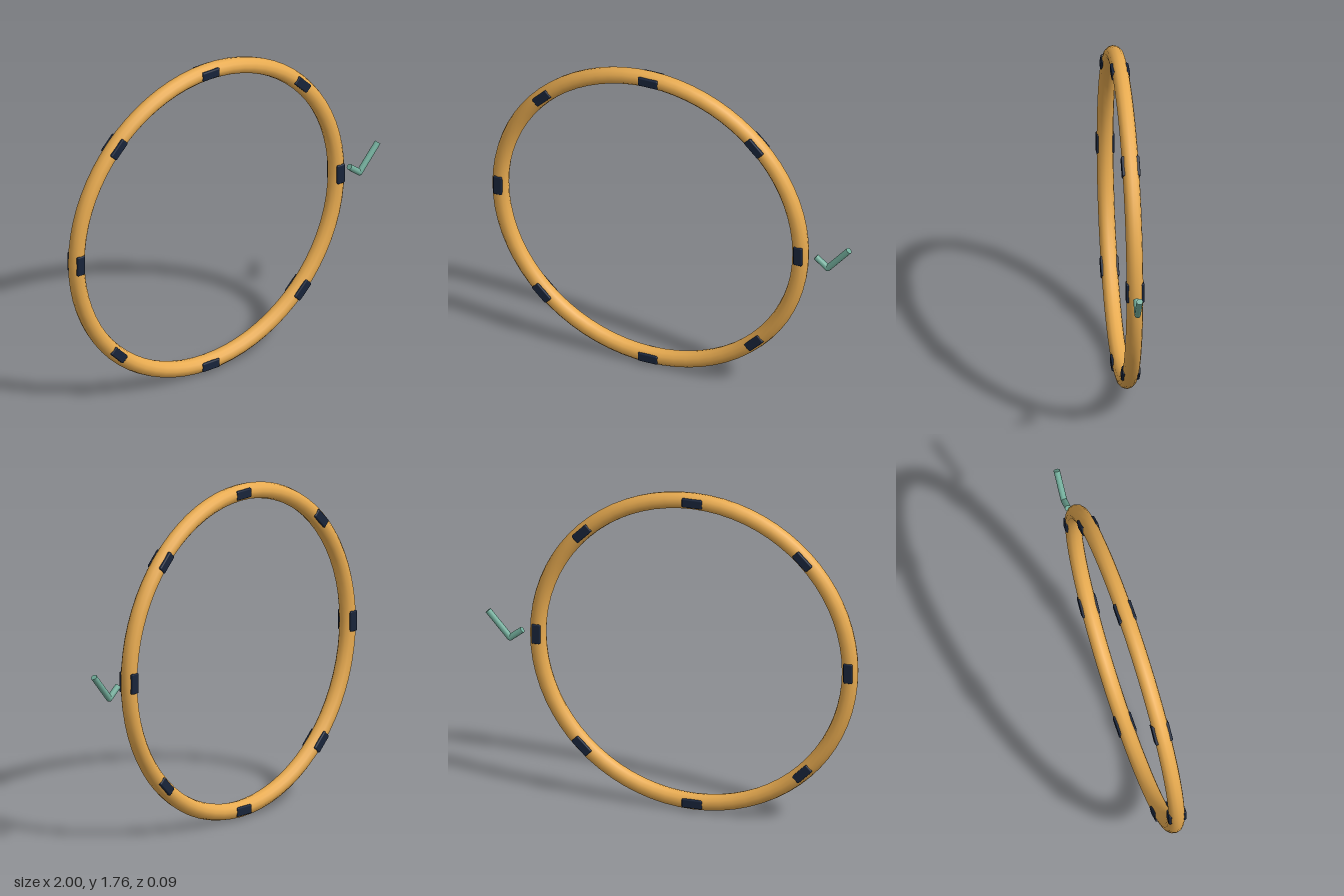
import * as THREE from 'three';
import { RoundedBoxGeometry } from 'three/addons/geometries/RoundedBoxGeometry.js';

const CENTER = new THREE.Vector3(-0.12, 0.887, 0);
const RING_RADIUS = 0.837;
const TUBE_RADIUS = 0.043;

export function createModel() {
  const model = new THREE.Group();
  const ringMaterial = new THREE.MeshStandardMaterial({ color: 0xe8ab50 });
  const gripMaterial = new THREE.MeshStandardMaterial({ color: 0x18243a });
  const hookMaterial = new THREE.MeshStandardMaterial({ color: 0x72ad9b });

  // Main hoop
  const hoop = new THREE.Mesh(
    new THREE.TorusGeometry(RING_RADIUS, TUBE_RADIUS, 12, 72), ringMaterial);
  hoop.name = 'hoop';
  hoop.position.copy(CENTER);
  model.add(hoop);

  // Eight grip blocks, set through the tube so they show front and back
  const grips = new THREE.Group();
  grips.name = 'grips';
  const gripGeometry = new RoundedBoxGeometry(0.048, 0.108, 0.095, 2, 0.007);
  for (let i = 0; i < 8; i++) {
    const angle = (i * Math.PI) / 4;
    const grip = new THREE.Mesh(gripGeometry, gripMaterial);
    grip.name = `grip${i + 1}`;
    grip.position.set(
      CENTER.x + RING_RADIUS * Math.cos(angle),
      CENTER.y + RING_RADIUS * Math.sin(angle), 0);
    grip.rotation.z = angle;
    grips.add(grip);
  }
  model.add(grips);

  // Bent rod beside the hoop: short arm, long arm and a round elbow
  const bentRod = new THREE.Group();
  bentRod.name = 'bentRod';
  const rodRadius = 0.0165;
  const elbowPoint = new THREE.Vector3(0.868, 0.832, 0);
  const addArm = (name, end) => {
    const direction = end.clone().sub(elbowPoint);
    const arm = new THREE.Mesh(
      new THREE.CylinderGeometry(rodRadius, rodRadius, direction.length(), 12), hookMaterial);
    arm.name = name;
    arm.position.copy(elbowPoint).add(end).multiplyScalar(0.5);
    arm.quaternion.setFromUnitVectors(new THREE.Vector3(0, 1, 0), direction.normalize());
    bentRod.add(arm);
  };
  addArm('shortArm', new THREE.Vector3(0.802, 0.884, 0));
  addArm('longArm', new THREE.Vector3(0.986, 0.968, 0));
  const elbow = new THREE.Mesh(new THREE.SphereGeometry(rodRadius, 12, 8), hookMaterial);
  elbow.name = 'elbow';
  elbow.position.copy(elbowPoint);
  bentRod.add(elbow);
  model.add(bentRod);

  return model;
}
